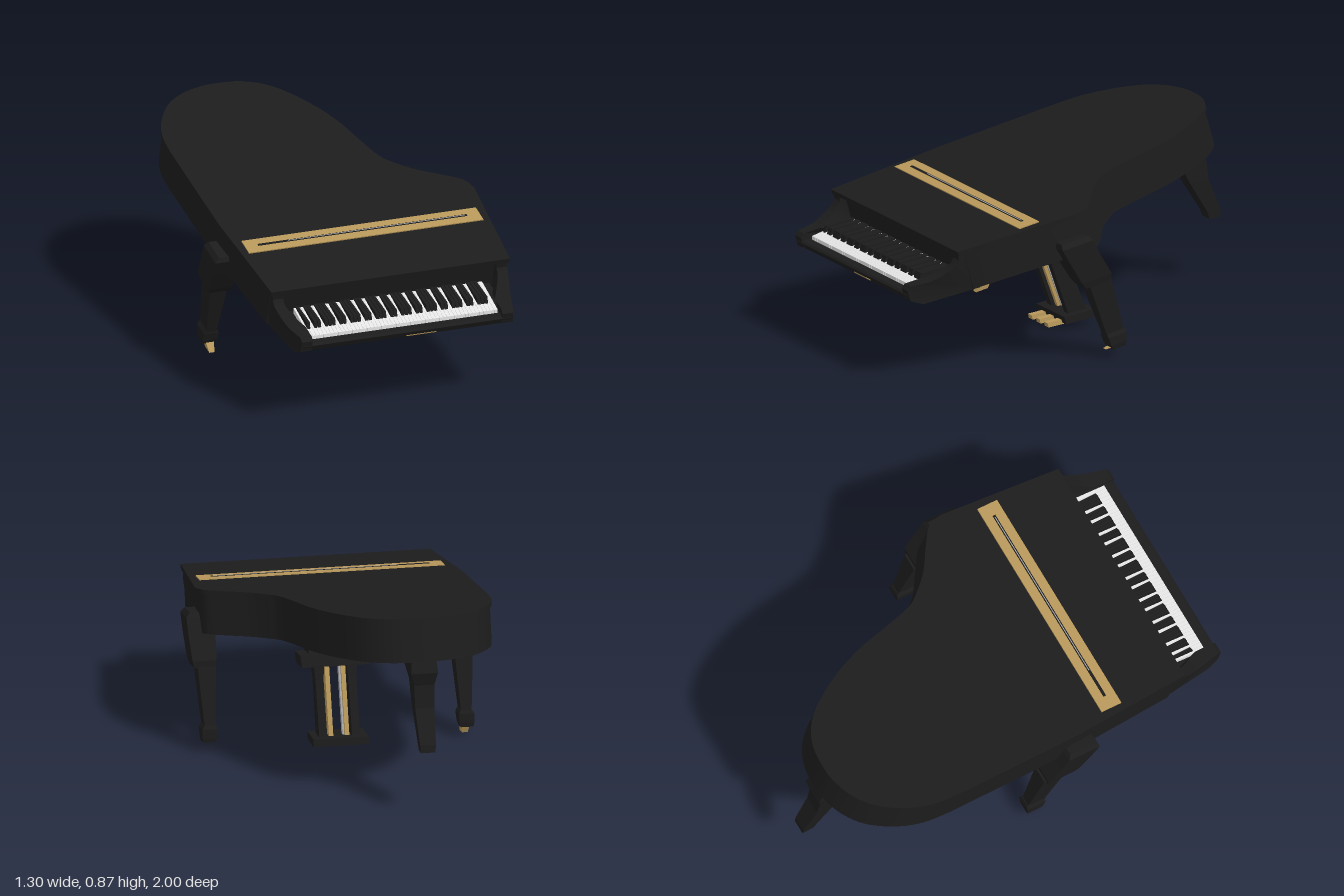
import * as THREE from 'three';
import { toCreasedNormals } from 'three/addons/utils/BufferGeometryUtils.js';

const black = new THREE.MeshStandardMaterial({ color: 0x1c1c1c });
black.name = 'black lacquer';
const brass = new THREE.MeshStandardMaterial({ color: 0xb8985a });
brass.name = 'brass';
const ivory = new THREE.MeshStandardMaterial({ color: 0xe6e6e6 });
ivory.name = 'ivory';
const silver = new THREE.MeshStandardMaterial({ color: 0xa8a8a8 });
silver.name = 'silver';

const TILT = 0.174, LEAN = 0.28, LID_TOP = 0.722;

// Tips upright geometry so the body slopes down to the front and leans back
function tip(geometry) {
  const p = geometry.attributes.position;
  for (let i = 0; i < p.count; i++) {
    const v = p.getY(i), z = p.getZ(i) + LEAN * (v - LID_TOP);
    p.setXYZ(i, p.getX(i), v - TILT * z, z);
  }
  return toCreasedNormals(geometry, 0.5);
}

function tippedBox(x0, x1, v0, v1, z0, z1) {
  const g = new THREE.BoxGeometry(x1 - x0, v1 - v0, z1 - z0);
  g.translate((x0 + x1) / 2, (v0 + v1) / 2, (z0 + z1) / 2);
  return tip(g);
}

// Wing-shaped plan, extruded from height v0 to v1
function wingSlab(v0, v1, front, inset) {
  const curve = [[-0.61, -0.4], [-0.6, -0.53], [-0.56, -0.65], [-0.49, -0.76], [-0.4, -0.83], [-0.3, -0.865],
    [-0.22, -0.872], [-0.12, -0.862], [-0.03, -0.82], [0.05, -0.74], [0.14, -0.59], [0.2, -0.44], [0.24, -0.28],
    [0.28, -0.14], [0.33, -0.07], [0.4, 0], [0.5, 0.07], [0.575, 0.13], [0.6, 0.2]];
  const pt = ([x, z]) => new THREE.Vector2(x * (1 - inset), -z * (1 - inset));
  const s = new THREE.Shape();
  const corners = [[-0.56, front], [-0.6, 0.2]].map(pt);
  s.moveTo(corners[0].x, corners[0].y);
  s.lineTo(corners[1].x, corners[1].y);
  const first = pt(curve[0]);
  s.lineTo(first.x, first.y);
  s.splineThru(curve.slice(1).map(pt));
  const end = pt([0.56, front]);
  s.lineTo(end.x, end.y);
  const g = new THREE.ExtrudeGeometry(s, { depth: v1 - v0, bevelEnabled: false, curveSegments: 54 });
  g.rotateX(-Math.PI / 2).translate(0, v0, 0);
  return tip(g);
}

// Side profile of [z, y] points, extruded from x0 to x1
function sideProfile(points, x0, x1) {
  const s = new THREE.Shape(points.map(([z, y]) => new THREE.Vector2(z, y)));
  const g = new THREE.ExtrudeGeometry(s, { depth: x1 - x0, bevelEnabled: false });
  return toCreasedNormals(g.rotateY(-Math.PI / 2).translate(x1, 0, 0), 0.5);
}

// Four-sided post through sections [y, x0, x1, z0, z1], listed top to bottom
function post(sections, tilt = TILT) {
  const pos = [], index = [];
  for (const [y, x0, x1, z0, z1] of sections) {
    const d = tilt * (z1 - z0) / 2;
    pos.push(x0, y - d, z1, x1, y - d, z1, x1, y + d, z0, x0, y + d, z0);
  }
  const n = sections.length;
  for (let i = 0; i < n - 1; i++) for (let j = 0; j < 4; j++) {
    const a = i * 4 + j, b = i * 4 + (j + 1) % 4;
    index.push(a, a + 4, b, b, a + 4, b + 4);
  }
  const e = (n - 1) * 4;
  index.push(0, 1, 2, 0, 2, 3, e, e + 2, e + 1, e, e + 3, e + 2);
  const g = new THREE.BufferGeometry();
  g.setAttribute('position', new THREE.Float32BufferAttribute(pos, 3));
  g.setIndex(index);
  const flat = g.toNonIndexed();
  flat.computeVertexNormals();
  return flat;
}

export function createModel() {
  const piano = new THREE.Group();
  piano.name = 'grandPiano';
  const add = (name, geometry, material = black, parent = piano) => {
    const m = new THREE.Mesh(geometry, material);
    m.name = name;
    parent.add(m);
  };

  // Case and closed lid
  add('case', wingSlab(0.524, 0.7, 0.76, 0.012));
  add('lid', wingSlab(0.7, LID_TOP, 0.78, 0));
  add('lidHinge', tippedBox(-0.55, 0.55, LID_TOP, 0.727, 0.36, 0.46), brass);
  add('hingeGroove', tippedBox(-0.49, 0.49, 0.727, 0.729, 0.403, 0.416));
  add('hingePin', tippedBox(-0.35, 0.48, 0.729, 0.73, 0.407, 0.411), silver);
  add('fallboardTrim', tippedBox(0.23, 0.49, 0.69, 0.695, 0.75, 0.757), brass);

  // Scrolled cheeks at either end of the keyboard, narrowing to the front
  const cheek = [[0.66, 0.58], [0.775, 0.575], [0.768, 0.545], [0.785, 0.52], [0.82, 0.495], [0.86, 0.472], [0.9, 0.456],
    [0.985, 0.443], [1, 0.425], [0.985, 0.375], [0.93, 0.357], [0.66, 0.405]];
  for (const side of [1, -1]) {
    const g = sideProfile(cheek, 0, 1), p = g.attributes.position;
    for (let i = 0; i < p.count; i++) {
      const z = p.getZ(i), isOuter = (p.getX(i) > 0.5) === (side > 0);
      const outer = Math.min(0.55, 0.495 + 0.25 * (1 - z));
      const inner = Math.min(0.5, 0.445 + 0.5 * Math.max(0, 0.9 - z));
      p.setX(i, side * (isOuter ? outer : inner));
    }
    add(side > 0 ? 'leftCheek' : 'rightCheek', toCreasedNormals(g, 0.5));
  }

  // Key bed with a low front slip
  add('keyBed', sideProfile([[0.6, 0.46], [0.76, 0.45], [0.94, 0.4], [0.944, 0.41], [0.985, 0.408], [0.995, 0.4],
    [0.98, 0.375], [0.93, 0.358], [0.6, 0.418]], -0.485, 0.485));
  add('slipTrim', post([[0.383, 0, 0.14, 0.97, 0.987], [0.378, 0, 0.14, 0.97, 0.985]], 0), brass);

  // Keyboard: 52 white keys, black keys between
  const keyboard = new THREE.Group();
  keyboard.name = 'keyboard';
  piano.add(keyboard);
  const pitch = 0.885 / 52;
  const white = [[0.74, 0.478], [0.945, 0.426], [0.945, 0.4], [0.74, 0.44]];
  const sharp = [[0.74, 0.484], [0.885, 0.468], [0.895, 0.436], [0.74, 0.46]];
  for (let i = 0; i < 52; i++) {
    const x = -0.4425 + i * pitch;
    add('whiteKey', sideProfile(white, x + 0.0005, x + pitch - 0.0005), ivory, keyboard);
    if (i < 51 && ![1, 4].includes(i % 7)) {
      add('blackKey', sideProfile(sharp, x + pitch - 0.007, x + pitch + 0.007), black, keyboard);
    }
  }

  // Front legs: heavy shoulder, tapered shaft, foot and caster
  for (const side of [1, -1]) {
    const leg = new THREE.Group();
    leg.name = side > 0 ? 'frontLeftLeg' : 'frontRightLeg';
    piano.add(leg);
    const mirrored = rows => rows.map(([y, a, b, z0, z1]) => side > 0 ? [y, a, b, z0, z1] : [y, -b, -a, z0, z1]);
    add('shoulder', post(mirrored([[0.575, 0.54, 0.63, 0.155, 0.29], [0.555, 0.52, 0.648, 0.14, 0.295],
      [0.48, 0.525, 0.645, 0.1, 0.25], [0.385, 0.53, 0.638, 0.04, 0.19], [0.355, 0.535, 0.63, 0.04, 0.165]])), black, leg);
    add('shaft', post(mirrored([[0.36, 0.535, 0.617, 0.03, 0.14], [0.105, 0.552, 0.598, -0.045, 0.04]])), black, leg);
    add('foot', post(mirrored([[0.115, 0.548, 0.6, -0.045, 0.042], [0.1, 0.54, 0.61, -0.052, 0.04],
      [0.06, 0.543, 0.61, -0.052, 0.025], [0.04, 0.55, 0.605, -0.05, 0.012]])), black, leg);
    const floor = side > 0 ? 0.034 : 0;
    add('caster', post(mirrored([[0.045, 0.555, 0.592, -0.035, 0.015], [floor + 0.005, 0.56, 0.585, -0.02, 0.04]])), brass, leg);
  }

  // Back leg, flared where it meets the case
  add('backLeg', post([[0.695, -0.285, -0.175, -0.905, -0.73], [0.63, -0.29, -0.17, -0.93, -0.75],
    [0.57, -0.275, -0.185, -0.915, -0.78], [0.47, -0.273, -0.187, -0.93, -0.835],
    [0.32, -0.268, -0.197, -0.997, -0.93], [0.285, -0.265, -0.2, -1, -0.943]], 0.05));

  // Pedal lyre
  const lyre = new THREE.Group();
  lyre.name = 'pedalLyre';
  piano.add(lyre);
  add('lyreBlock', post([[0.52, -0.1, 0.12, 0.09, 0.22], [0.38, -0.1, 0.12, 0.02, 0.14]]), black, lyre);
  add('lyreTop', post([[0.4, -0.15, 0.165, -0.015, 0.13], [0.35, -0.145, 0.16, -0.03, 0.11]]), black, lyre);
  for (const x of [-0.063, 0.084]) {
    add('lyreColumn', post([[0.36, x - 0.023, x + 0.023, -0.03, 0.06], [0.3, x - 0.018, x + 0.018, -0.045, 0.035],
      [0.06, x - 0.018, x + 0.018, -0.14, -0.05]]), black, lyre);
  }
  const rod = (x, w, z, d) => post([[0.36, x - w, x + w, z, z + d], [0.06, x - w, x + w, z - 0.11, z - 0.11 + d]]);
  for (const x of [-0.026, 0.046]) add('pedalRod', rod(x, 0.01, -0.015, 0.06), brass, lyre);
  add('silverRod', rod(-0.012, 0.004, 0, 0.03), silver, lyre);
  add('lyreBase', post([[0.065, -0.115, 0.132, -0.165, -0.01], [0.03, -0.115, 0.132, -0.17, -0.02]], 0.1), black, lyre);
  for (const x of [-0.06, 0.01, 0.08]) {
    add('pedal', post([[0.034, x - 0.016, x + 0.016, -0.04, 0.055], [0.013, x - 0.018, x + 0.018, -0.04, 0.05]], 0.08), brass, lyre);
  }
  return piano;
}
